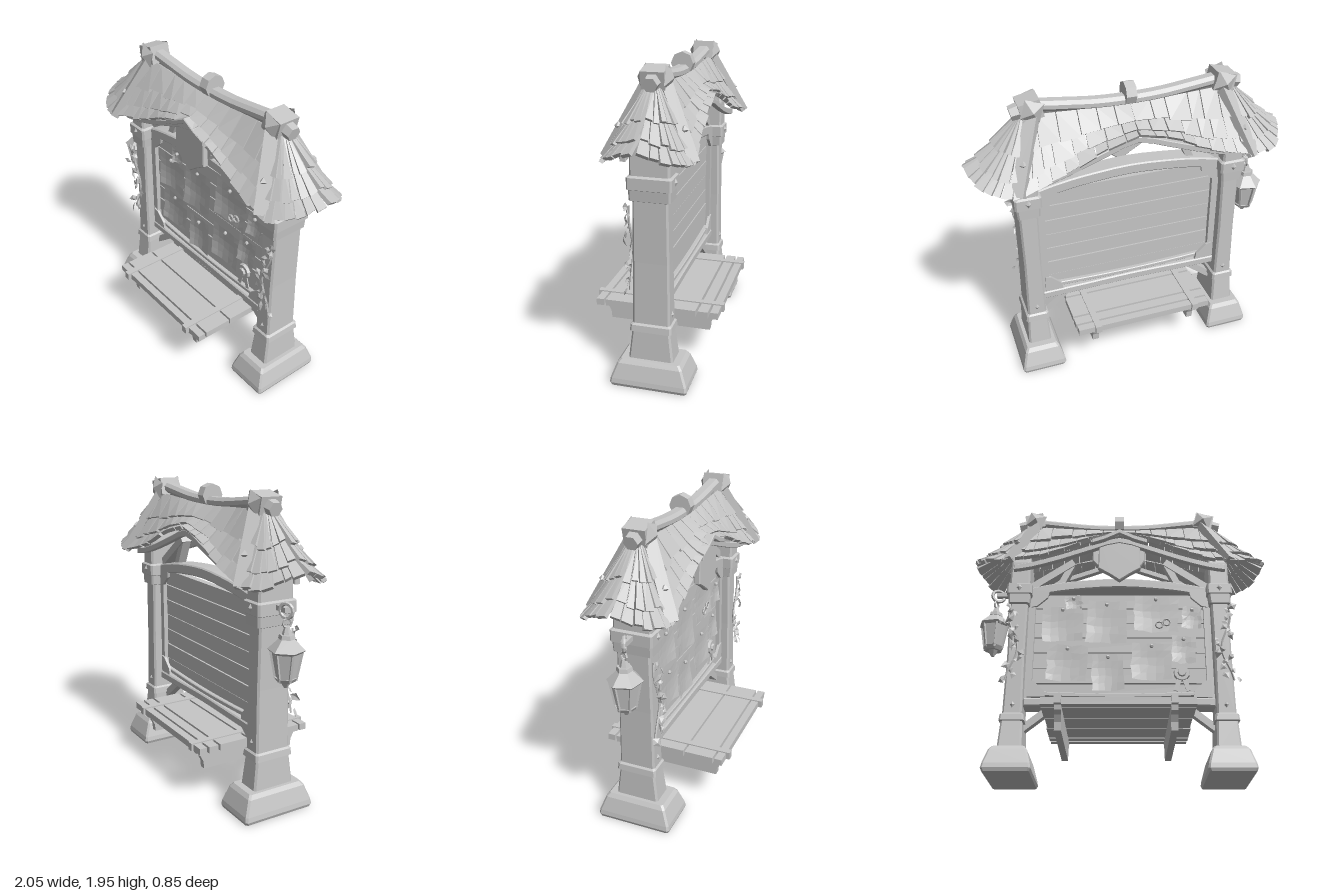
import * as THREE from 'three';
import { mergeGeometries } from 'three/addons/utils/BufferGeometryUtils.js';
import { ConvexGeometry } from 'three/addons/geometries/ConvexGeometry.js';

const V = (x, y, z) => new THREE.Vector3(x, y, z);
const CZ = -0.06; // depth of the posts, board and ridge

export function createModel() {
  const model = new THREE.Group();
  const grey = new THREE.MeshStandardMaterial({ color: 0xc6c6c6, flatShading: true, side: THREE.DoubleSide });
  grey.name = 'plain grey';
  let seed = 7;
  const rnd = (a = -1, b = 1) => {
    seed = (seed * 16807) % 2147483647;
    return a + (b - a) * seed / 2147483647;
  };
  const add = (name, geo, x = 0, y = 0, z = 0, rx = 0, ry = 0, rz = 0) => {
    const m = new THREE.Mesh(geo, grey);
    m.name = name;
    m.position.set(x, y, z);
    m.rotation.set(rx, ry, rz);
    model.add(m);
    return m;
  };
  const box = (name, w, h, d, x, y, z, rx, ry, rz) => add(name, new THREE.BoxGeometry(w, h, d), x, y, z, rx, ry, rz);
  const beam = (name, a, b, w, h) => {
    const m = add(name, new THREE.BoxGeometry(w, h, a.distanceTo(b)));
    m.position.copy(a).lerp(b, 0.5);
    m.lookAt(b);
    return m;
  };
  // stack of rectangular sections, each [y, half width, half depth]
  const stack = (name, levels, x, z) => {
    const parts = [];
    for (let i = 0; i < levels.length - 1; i++) {
      const pts = [];
      for (const [y, w, d] of [levels[i], levels[i + 1]])
        for (const sx of [-1, 1]) for (const sz of [-1, 1]) {
          pts.push(V(sx * w, y, sz * (d - 0.012)), V(sx * (w - 0.012), y, sz * d));
        }
      parts.push(new ConvexGeometry(pts));
    }
    return add(name, mergeGeometries(parts), x, 0, z);
  };
  const extrude = (name, pts, depth, z, bevel = 0) => {
    const g = new THREE.ExtrudeGeometry(new THREE.Shape(pts.map(p => new THREE.Vector2(p[0], p[1]))), {
      depth: depth - 2 * bevel, bevelEnabled: bevel > 0, bevelSize: bevel, bevelThickness: bevel, bevelOffset: -bevel, bevelSegments: 1 });
    return add(name, g, 0, 0, z - depth / 2 + bevel);
  };
  // symmetric curved beam: half path of [x, y], height h
  const arch = (name, half, h, depth, z, bevel = 0) => {
    const full = [...half.slice(1).reverse().map(([x, y]) => [-x, y]), ...half];
    const c = new THREE.SplineCurve(full.map(p => new THREE.Vector2(...p))).getPoints(16);
    return extrude(name, [...c.map(p => [p.x, p.y - h / 2]), ...c.reverse().map(p => [p.x, p.y + h / 2])], depth, z, bevel);
  };

  // stone feet, posts, braces and studs
  for (const s of [-1, 1]) {
    const x = s * 0.68;
    stack('postFoot', [[0, 0.142, 0.238], [0.02, 0.15, 0.245], [0.05, 0.145, 0.24], [0.145, 0.118, 0.205], [0.17, 0.1, 0.185]], x, CZ);
    stack('post', [[0.16, 0.078, 0.142], [0.35, 0.068, 0.12], [0.355, 0.08, 0.132], [0.395, 0.075, 0.128], [0.405, 0.062, 0.117],
      [0.8, 0.056, 0.112], [1.18, 0.06, 0.108], [1.185, 0.07, 0.126], [1.25, 0.075, 0.128], [1.255, 0.085, 0.136],
      [1.325, 0.085, 0.136], [1.335, 0.068, 0.122], [1.5, 0.066, 0.12], [1.62, 0.05, 0.1]], x, CZ);
    for (const y of [0.46, 1.295]) for (const f of [-1, 1]) {
      add('postStud', new THREE.OctahedronGeometry(0.024), x, y, CZ + f * (y > 1 ? 0.136 : 0.114)).scale.set(0.8, 1.1, 0.6);
    }
    beam('lowerBrace', V(s * 0.62, 0.33, CZ), V(s * 0.42, 0.49, CZ), 0.06, 0.045);
    beam('upperBrace', V(s * 0.62, 1.34, CZ), V(s * 0.32, 1.55, CZ), 0.08, 0.05);
    beam('roofStrut', V(s * 0.42, 1.35, CZ), V(s * 0.33, 1.54, CZ), 0.06, 0.045);
    box('sideRail', 0.045, 0.8, 0.11, s * 0.595, 0.9, CZ);
    // triangular corner plates on both faces of the board
    for (const f of [-1, 1]) for (const [y, d] of [[0.53, 1], [1.3, -1]]) {
      extrude('cornerPlate', [[s * 0.6, y], [s * 0.48, y], [s * 0.49, y + d * 0.045], [s * 0.56, y + d * 0.11], [s * 0.6, y + d * 0.12]], 0.02, CZ + f * 0.055);
    }
  }

  // notice board
  for (let i = 0; i < 7; i++) {
    box('boardPlank', 1.16, 0.104, 0.045 + rnd(0, 0.012), 0, 0.58 + i * 0.11, CZ);
  }
  arch('bottomRail', [[0, 0.505], [0.3, 0.5], [0.62, 0.495]], 0.055, 0.13, CZ, 0.008);
  arch('boardLedge', [[0, 0.545], [0.3, 0.55], [0.55, 0.56]], 0.03, 0.1, CZ, 0.005);
  arch('lintel', [[0, 1.37], [0.3, 1.35], [0.5, 1.32], [0.62, 1.29]], 0.07, 0.13, CZ, 0.008);

  // pinned papers: [x0, x1, y0, y1, tilt]
  const papers = [[-0.52, -0.25, 0.93, 1.19, 0.04], [-0.37, -0.255, 1.17, 1.275, 0.05], [-0.22, 0.05, 0.92, 1.23, -0.04],
    [0.1, 0.4, 1, 1.27, -0.04], [0.43, 0.56, 1.02, 1.19, -0.06], [-0.48, -0.21, 0.64, 0.9, -0.05], [-0.18, 0.03, 0.58, 0.84, 0.02],
    [0.08, 0.35, 0.65, 0.92, -0.03], [0.35, 0.51, 0.77, 0.97, -0.04]];
  papers.forEach(([x0, x1, y0, y1, tilt], k) => {
    const w = x1 - x0, h = y1 - y0;
    const g = new THREE.PlaneGeometry(w, h, 5, 5), p = g.attributes.position;
    for (let i = 0; i < p.count; i++) {
      const u = p.getX(i) / w * 2, v = p.getY(i) / h * 2;
      p.setXYZ(i, p.getX(i) + rnd() * 0.008, p.getY(i) + rnd() * 0.008, 0.018 * u * u * (1 - v) / 2 + 0.006 * Math.abs(v));
    }
    add('paper', g, (x0 + x1) / 2, (y0 + y1) / 2, -0.025 + (k % 3) * 0.004, 0, 0, tilt);
    add('pin', new THREE.SphereGeometry(0.014, 6, 4), (x0 + x1) / 2, y1 - 0.025, -0.008);
  });
  for (const [x, y] of [[0.27, 1.05], [0.32, 1.07]]) add('seal', new THREE.TorusGeometry(0.024, 0.006, 4, 8), x, y, -0.008);
  add('rosette', new THREE.CylinderGeometry(0.05, 0.055, 0.02, 10), 0.41, 0.7, -0.01, Math.PI / 2);
  add('rosetteCentre', new THREE.CylinderGeometry(0.025, 0.03, 0.02, 8), 0.41, 0.7, 0.005, Math.PI / 2);
  for (const s of [-1, 1]) box('rosetteRibbon', 0.03, 0.1, 0.008, 0.41 + s * 0.028, 0.625, -0.012, 0, 0, s * 0.3);

  // bench running through both sides
  for (const [z0, z1] of [[0.35, 0.4], [0.145, 0.337], [-0.055, 0.133], [-0.265, -0.07], [-0.345, -0.28], [-0.41, -0.36]]) {
    box('benchPlank', 0.92 + rnd() * 0.01, 0.043, z1 - z0, -0.005, 0.361, (z0 + z1) / 2);
  }
  for (const x of [-0.363, 0.325]) {
    box('benchBatten', 0.042, 0.05, 0.85, x, 0.365, 0);
    const half = [[0.335, 0.2], [0.34, 0.25], [0.36, 0.29], [0.385, 0.31], [0.39, 0.345]];
    const m = extrude('benchBracket', [...half, ...half.map(([z, y]) => [-z, y]).reverse()], 0.042, 0);
    m.rotation.y = Math.PI / 2;
    m.position.set(x - 0.021, 0, 0);
  }

  // roof: quarter paths of the ridge and the eave, sweeping round the hip; z is measured from the ridge
  const path = pts => new THREE.CatmullRomCurve3(pts.map(p => V(...p)));
  const ridge = path([[0, 1.81, 0.03], [0.2, 1.815, 0.03], [0.4, 1.825, 0.03], [0.58, 1.835, 0.035], [0.64, 1.83, 0.035],
    [0.67, 1.82, 0.035], [0.685, 1.81, 0.025], [0.69, 1.81, 0]]);
  const eave = path([[0, 1.655, 0.19], [0.2, 1.605, 0.195], [0.4, 1.52, 0.2], [0.6, 1.455, 0.215], [0.76, 1.42, 0.24],
    [0.885, 1.435, 0.205], [0.965, 1.475, 0.12], [0.995, 1.52, 0]]);
  const onRoof = (u, t) => {
    const p = ridge.getPoint(u).lerp(eave.getPoint(u), t);
    p.y -= 0.09 * t * (1 - t);
    return p;
  };
  const shingles = [];
  const rows = [[0, 0.42, 12], [0.3, 0.74, 14], [0.62, 1, 15]];
  for (const sx of [-1, 1]) for (const sz of [-1, 1]) rows.forEach(([t0, t1, n]) => {
    const cuts = Array.from({ length: n + 1 }, (_, i) => (i + (i > 0 && i < n ? rnd() * 0.18 : 0)) / n);
    for (let i = 0; i < n; i++) {
      const u0 = cuts[i], u1 = cuts[i + 1] - 0.004, e = t1 + rnd() * 0.035;
      const q = [onRoof(u0, t0), onRoof(u1, t0), onRoof(u1, e + rnd() * 0.015), onRoof(u0, e)];
      const up = q[3].clone().sub(q[0]).cross(q[2].clone().sub(q[3])).normalize();
      if (up.y < 0) up.negate();
      const lift = rnd(0.008, 0.018);
      const pts = q.flatMap((p, k) => [k > 1 ? lift : -0.012, k > 1 ? lift + 0.026 : 0.008].map(d => p.clone().addScaledVector(up, d)));
      shingles.push(new ConvexGeometry(pts.map(p => V(p.x * sx, p.y, p.z * sz + CZ))));
    }
  });
  add('roofShingles', mergeGeometries(shingles));
  arch('ridgeBeam', [[0, 1.83], [0.2, 1.836], [0.4, 1.858], [0.62, 1.885]], 0.065, 0.09, CZ, 0.02);
  add('ridgeClamp', new THREE.CylinderGeometry(0.072, 0.072, 0.065, 8), 0, 1.87, CZ, 0, 0, Math.PI / 2);
  for (const f of [-1, 1]) {
    arch('eaveTrim', [[0, 1.64], [0.18, 1.585], [0.4, 1.505], [0.6, 1.445], [0.72, 1.425]], 0.04, 0.04, CZ + f * 0.165, 0.004);
    for (const s of [-1, 1]) {
      beam('roofRafter', V(s * 0.6, 1.84, CZ + f * 0.05), V(s * 0.755, 1.435, CZ + f * 0.25), 0.08, 0.05);
      add('rafterStud', new THREE.OctahedronGeometry(0.025), s * 0.7, 1.61, CZ + f * 0.192);
      add('ridgeEndFacet', new THREE.ConeGeometry(0.085, 0.04, 4), s * 0.6, 1.873, CZ + f * 0.088, f * Math.PI / 2, Math.PI / 4 * 0.6);
    }
  }
  for (const s of [-1, 1]) {
    box('ridgeEnd', 0.13, 0.115, 0.14, s * 0.605, 1.872, CZ, 0, 0, -s * 0.22);
    add('ridgeTip', new THREE.CylinderGeometry(0.045, 0.052, 0.08, 6), s * 0.68, 1.855, CZ, 0, 0, -s * 1.8);
    beam('hipBeam', V(s * 0.66, 1.8, CZ), V(s * 0.74, 1.55, CZ), 0.1, 0.05);
  }

  // crest over the board
  extrude('crestBack', [[-0.185, 1.63], [-0.185, 1.5], [-0.15, 1.46], [0.15, 1.46], [0.175, 1.5], [0.175, 1.63]], 0.05, 0.06, 0.006);
  extrude('crestShield', [[-0.14, 1.65], [-0.145, 1.42], [-0.07, 1.375], [0, 1.325], [0.07, 1.375], [0.145, 1.42], [0.14, 1.65]], 0.04, 0.1, 0.006);
  extrude('crestHood', [[-0.19, 1.595], [-0.1, 1.625], [0, 1.675], [0.1, 1.625], [0.19, 1.595], [0.19, 1.63], [0.1, 1.66], [0, 1.71], [-0.1, 1.66], [-0.19, 1.63]], 0.06, 0.13, 0.005);

  // hanging lantern
  const lx = -0.85;
  box('lanternArm', 0.12, 0.03, 0.035, -0.79, 1.3, CZ);
  add('lanternRing', new THREE.TorusGeometry(0.042, 0.012, 6, 12), lx + 0.01, 1.295, CZ, 0, 0.4);
  add('lanternLink', new THREE.TorusGeometry(0.025, 0.007, 5, 8), lx, 1.225, CZ, 0, 1.2);
  const lanternPart = (name, top, bottom, y0, y1) =>
    add(name, new THREE.CylinderGeometry(top, bottom, y1 - y0, 6), lx, (y0 + y1) / 2, CZ, 0, 0.3);
  lanternPart('lanternKnob', 0.015, 0.03, 1.16, 1.205);
  lanternPart('lanternCap', 0.045, 0.05, 1.135, 1.16);
  lanternPart('lanternRoof', 0.045, 0.11, 1.07, 1.135);
  lanternPart('lanternRim', 0.11, 0.095, 1.055, 1.07);
  lanternPart('lanternBody', 0.088, 0.06, 0.9, 1.055);
  lanternPart('lanternBase', 0.072, 0.055, 0.88, 0.905);
  lanternPart('lanternTip', 0.035, 0.01, 0.84, 0.88);
  for (let i = 0; i < 6; i++) {
    const a = i * Math.PI / 3 + 0.3;
    const at = (r, y) => V(lx + r * Math.sin(a), y, CZ + r * Math.cos(a));
    beam('lanternBar', at(0.06, 0.89), at(0.092, 1.06), 0.014, 0.014);
  }

  // ivy climbing the posts
  const leaf = new THREE.BufferGeometry().setFromPoints([[0, 0.035, 0], [-0.03, 0.005, 0.008], [0, -0.045, 0.012], [0.03, 0.005, 0.008], [0, 0, 0.02]].map(p => V(...p)));
  leaf.setIndex([0, 1, 4, 1, 2, 4, 2, 3, 4, 3, 0, 4]);
  leaf.computeVertexNormals();
  for (const s of [-1, 1]) {
    const stem = y => V(s * (0.705 + 0.035 * Math.sin(y * 13)), y, 0.068);
    const pts = Array.from({ length: 9 }, (_, i) => stem(0.62 + i * 0.066));
    add('ivyStem', new THREE.TubeGeometry(new THREE.CatmullRomCurve3(pts), 20, 0.007, 4));
    for (let i = 0; i < 18; i++) {
      const p = stem(0.62 + i * 0.031);
      add('ivyLeaf', leaf, p.x + rnd() * 0.05, p.y, 0.075 + rnd(0, 0.02), rnd() * 0.5, rnd() * 0.7, rnd() * 1.2).scale.setScalar(rnd(0.6, 1));
    }
  }
  return model;
}
